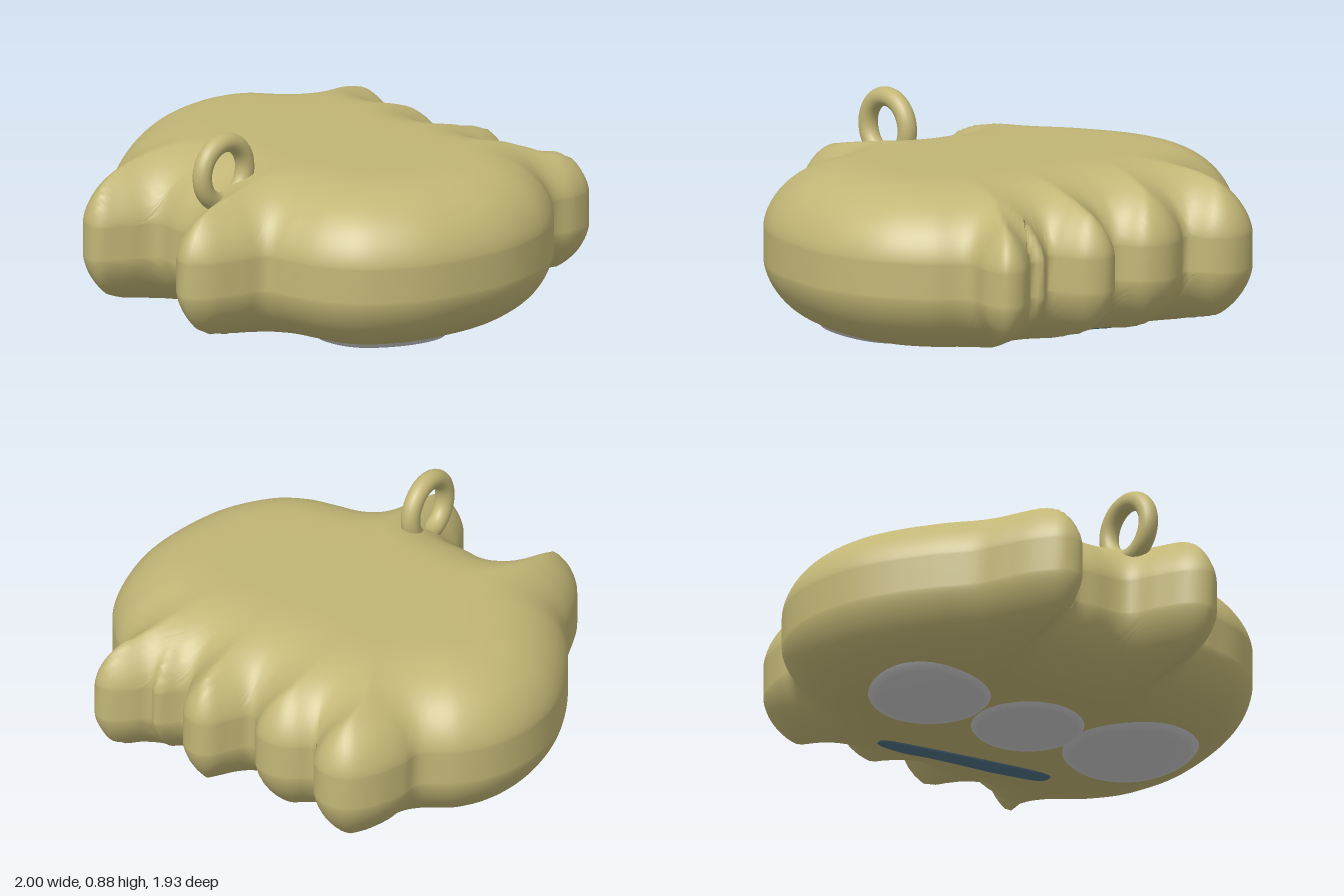
import * as THREE from 'three';

const MID = 0.36, WALL = 0.07, PUFF = 0.275, SOFT = 0.5;

// Plan outline as x, z pairs: right side, front lobes, left side, back lobes
const PLAN = [
  1, -0.1, 0.98, 0.1, 0.93, 0.28, 0.85, 0.42, 0.75, 0.53, 0.6, 0.61, 0.45, 0.64, 0.36, 0.66,
  0.32, 0.76, 0.26, 0.9, 0.18, 0.96, 0.1, 0.92, 0.03, 0.8, -0.02, 0.69, -0.07, 0.66, -0.17, 0.65,
  -0.28, 0.64, -0.35, 0.75, -0.42, 0.85, -0.5, 0.84, -0.58, 0.75, -0.64, 0.62, -0.69, 0.5,
  -0.8, 0.36, -0.92, 0.16, -0.98, 0, -1, -0.2, -0.96, -0.38, -0.87, -0.52, -0.73, -0.63,
  -0.72, -0.72, -0.68, -0.85, -0.6, -0.95, -0.5, -0.97, -0.42, -0.93, -0.35, -0.83,
  -0.28, -0.88, -0.2, -0.905, -0.1, -0.88, -0.04, -0.79, 0, -0.77, 0.05, -0.84, 0.1, -0.92,
  0.16, -0.945, 0.24, -0.91, 0.29, -0.82, 0.32, -0.76, 0.37, -0.8, 0.42, -0.85, 0.46, -0.82,
  0.52, -0.88, 0.6, -0.935, 0.67, -0.92, 0.695, -0.82, 0.68, -0.69, 0.8, -0.58, 0.92, -0.42, 0.98, -0.25,
];
const knots = [];
for (let i = 0; i < PLAN.length; i += 2) knots.push(new THREE.Vector3(PLAN[i], 0, PLAN[i + 1]));
const outline = new THREE.CatmullRomCurve3(knots, true).getSpacedPoints(300).slice(0, -1);

// Distance from a plan point to the outline
function edgeDistance(x, z) {
  let best = Infinity;
  outline.forEach((a, i) => {
    const b = outline[(i + 1) % outline.length];
    const dx = b.x - a.x, dz = b.z - a.z;
    const t = THREE.MathUtils.clamp(((x - a.x) * dx + (z - a.z) * dz) / (dx * dx + dz * dz), 0, 1);
    best = Math.min(best, Math.hypot(x - a.x - t * dx, z - a.z - t * dz));
  });
  return best;
}

// Half thickness of the cushion, swelling inward from the edge
function halfThickness(x, z) {
  const u = Math.min(edgeDistance(x, z) / SOFT, 1);
  return WALL + PUFF * Math.pow(1 - Math.pow(1 - u, 3), 1 / 1.6);
}

// Skin a list of closed rings (each an array of [x, y, z]) into one smooth surface
function skin(rings) {
  const n = rings[0].length, index = [];
  for (let i = 0; i < rings.length - 1; i++) {
    for (let j = 0; j < n; j++) {
      const k = (j + 1) % n;
      const a = i * n + j, b = i * n + k, c = a + n, d = b + n;
      index.push(a, d, c, a, b, d);
    }
  }
  const geo = new THREE.BufferGeometry();
  geo.setAttribute('position', new THREE.Float32BufferAttribute(rings.flat(2), 3));
  geo.setIndex(index);
  geo.computeVertexNormals();
  return geo;
}

// Puffy lobed body: rings spread from the top centre to the rim, then back underneath
function bodyGeometry() {
  const top = [], bottom = [], steps = 32;
  for (let i = 0; i <= steps; i++) {
    const t = 1 - Math.pow(1 - i / steps, 2);
    const ring = outline.map((p) => [p.x * t, halfThickness(p.x * t, p.z * t), p.z * t]);
    top.push(ring.map(([x, h, z]) => [x, MID + h, z]));
    bottom.unshift(ring.map(([x, h, z]) => [x, MID - h, z]));
  }
  return skin([...top, ...bottom]);
}

// Thin raised oval that follows the underside of the body
function padGeometry(cx, cz, rx, rz, angle, lift) {
  const rings = [], steps = 12, sides = 48;
  for (let i = 0; i <= steps + 1; i++) {
    const t = Math.max(1 - i / steps, 0.001);
    const ring = [];
    for (let j = 0; j < sides; j++) {
      const a = (j / sides) * Math.PI * 2;
      // squarish ends for long strips, plain round for discs
      const e = rx === rz ? 1 : 0.5;
      const px = Math.sign(Math.cos(a)) * Math.pow(Math.abs(Math.cos(a)), e) * rx * t;
      const pz = Math.sign(Math.sin(a)) * Math.pow(Math.abs(Math.sin(a)), e) * rz * t;
      const x = cx + px * Math.cos(angle) - pz * Math.sin(angle);
      const z = cz + px * Math.sin(angle) + pz * Math.cos(angle);
      const drop = i === 0 ? -0.01 : lift;
      ring.push([x, MID - halfThickness(x, z) - drop, z]);
    }
    rings.push(ring);
  }
  return skin(rings);
}

export function createModel() {
  const group = new THREE.Group();
  const material = (color) => new THREE.MeshStandardMaterial({ color });
  const tan = material(0xc2b676), pale = material(0xd4d4d8), blue = material(0x4f7183);
  const add = (name, geometry, mat) => {
    const mesh = new THREE.Mesh(geometry, mat);
    mesh.name = name;
    group.add(mesh);
    return mesh;
  };

  add('body', bodyGeometry(), tan);

  // Hanging loop standing on the front lobe
  const loop = add('hangingLoop', new THREE.TorusGeometry(0.125, 0.04, 20, 56), tan);
  loop.rotation.y = Math.PI / 2;
  loop.position.set(0.05, 0.715, 0.59);

  // Three overlapping discs under the body
  [[0.47, 0.1, 0.29], [-0.02, 0.03, 0.24], [-0.51, -0.01, 0.26]].forEach(([x, z, r], i) =>
    add('undersideDisc' + (i + 1), padGeometry(x, z, r, r, 0, 0.015), pale));

  // Slanted strip behind the discs
  add('undersideStrip', padGeometry(0, -0.4, 0.41, 0.05, 0.24, 0.006), blue);

  return group;
}
